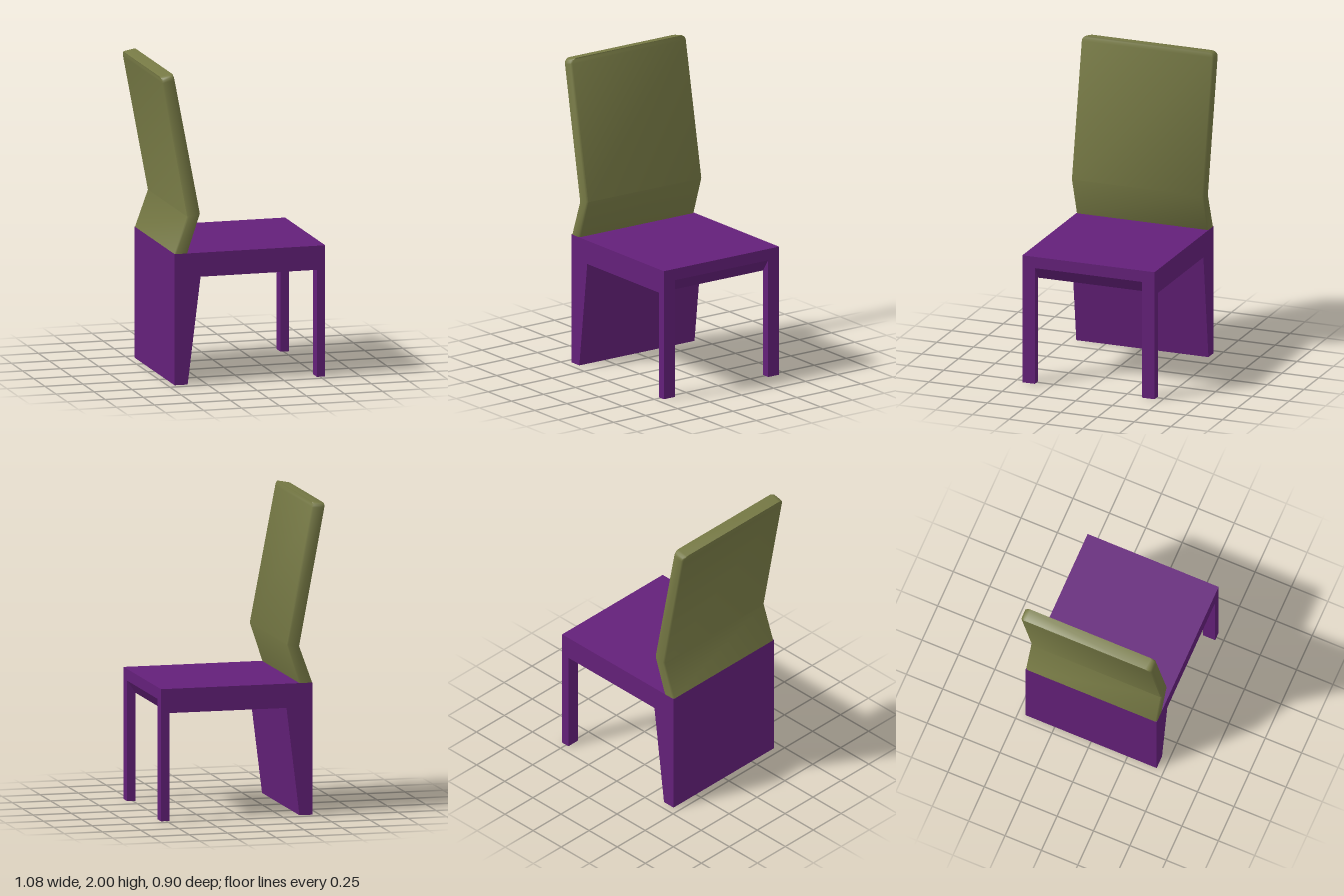
import * as THREE from 'three';
import { toCreasedNormals } from 'three/addons/utils/BufferGeometryUtils.js';

const HALF = 0.45; // half width of the chair (z)

// Side profile (x, y) extruded between two z positions
function slab(profile, z0, z1) {
  const shape = new THREE.Shape(profile.map(([x, y]) => new THREE.Vector2(x, y)));
  return new THREE.ExtrudeGeometry(shape, { depth: z1 - z0, bevelEnabled: false }).translate(0, 0, z0);
}

// Closed loft through rings that all have the same number of points
function loft(rings) {
  const n = rings[0].length, index = [];
  for (let r = 0; r < rings.length - 1; r++) {
    for (let i = 0; i < n; i++) {
      const a = r * n + i, b = r * n + (i + 1) % n;
      index.push(a, b, b + n, a, b + n, a + n);
    }
  }
  const top = (rings.length - 1) * n;
  for (let i = 1; i < n - 1; i++) index.push(0, i + 1, i, top, top + i, top + i + 1);
  const geo = new THREE.BufferGeometry();
  geo.setAttribute('position', new THREE.Float32BufferAttribute(rings.flat(2), 3));
  geo.setIndex(index);
  return toCreasedNormals(geo, 0.9);
}

// Horizontal slice of the backrest, edges slightly chamfered
function backRing([xb, yb], [xf, yf], w) {
  const at = (t, z) => [xb + (xf - xb) * t, yb + (yf - yb) * t, z];
  const c = 0.12, e = 0.01;
  return [
    at(0, w - e), at(c, w), at(1 - c, w), at(1, w - e),
    at(1, e - w), at(1 - c, -w), at(c, -w), at(0, e - w),
  ];
}

export function createModel() {
  const group = new THREE.Group();
  const purple = new THREE.MeshStandardMaterial({ color: 0x64207a });
  const olive = new THREE.MeshStandardMaterial({ color: 0x777a45 });
  const add = (name, geo, mat) => {
    const mesh = new THREE.Mesh(geo, mat);
    mesh.name = name;
    group.add(mesh);
  };

  // Seat with bevelled front underside, joined to the tapered full-width rear panel
  add('seatAndRearPanel', slab([
    [-0.455, 0], [-0.37, 0], [-0.285, 0.69], [0.48, 0.69],
    [0.535, 0.77], [0.535, 0.845], [-0.455, 0.845],
  ], -HALF, HALF), purple);

  // Front legs, mitred into the seat bevel
  const leg = [[0.48, 0], [0.535, 0], [0.535, 0.77], [0.48, 0.69]];
  add('leftFrontLeg', slab(leg, -HALF, -0.365), purple);
  add('rightFrontLeg', slab(leg, 0.365, HALF), purple);

  // Bent backrest: foot, bend, then a straight rise with rounded top corners
  const bendBack = [-0.37, 1.08], bendFront = [-0.287, 1.095];
  const topBack = [-0.54, 1.985], topFront = [-0.46, 2.0];
  const rings = [
    backRing([-0.455, 0.845], [-0.37, 0.845], HALF),
    backRing(bendBack, bendFront, HALF),
  ];
  const lerp = (p, q, t) => [p[0] + (q[0] - p[0]) * t, p[1] + (q[1] - p[1]) * t];
  const radius = 0.035;
  for (let i = 0; i <= 4; i++) {
    const a = (i / 4) * Math.PI / 2;
    const t = 1 - radius * (1 - Math.sin(a)) / 0.92;
    rings.push(backRing(lerp(bendBack, topBack, t), lerp(bendFront, topFront, t),
      HALF - radius * (1 - Math.cos(a))));
  }
  add('backrest', loft(rings), olive);
  return group;
}
